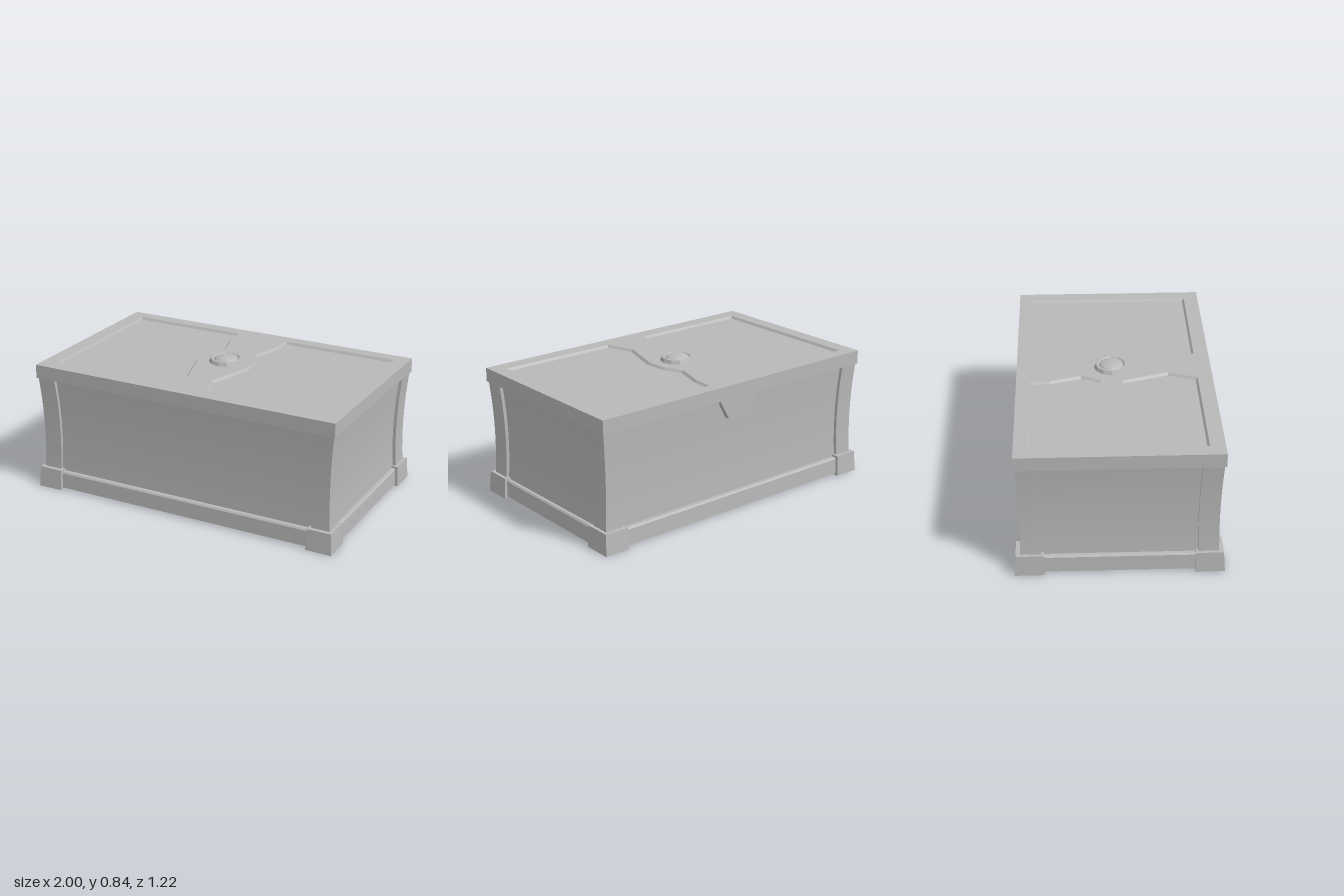
import * as THREE from 'three';

const stone = new THREE.MeshStandardMaterial({ color: 0xb8b8b8 });
stone.name = 'grey stone';

const LID_TOP = 0.805, LID_BOTTOM = 0.72, FLOOR = 0.79;

function add(parent, name, geometry) {
  const mesh = new THREE.Mesh(geometry, stone);
  mesh.name = name;
  parent.add(mesh);
  return mesh;
}

// Box given by its limits, with optional height segments
function boxBetween(x0, x1, y0, y1, z0, z1, segments = 1) {
  return new THREE.BoxGeometry(x1 - x0, y1 - y0, z1 - z0, 1, segments, 1)
    .translate((x0 + x1) / 2, (y0 + y1) / 2, (z0 + z1) / 2);
}

// Move every vertex of a geometry by a rule
function reshape(geometry, rule) {
  const pos = geometry.attributes.position;
  const v = new THREE.Vector3();
  for (let i = 0; i < pos.count; i++) {
    rule(v.fromBufferAttribute(pos, i));
    pos.setXYZ(i, v.x, v.y, v.z);
  }
  geometry.computeVertexNormals();
  return geometry;
}

// Concave sides: wider at the top, narrowest a little below the middle
function bow(v) {
  const f = ((v.y - 0.35) / 0.37) ** 2;
  v.x += Math.sign(v.x) * 0.02 * f;
  v.z += Math.sign(v.z) * 0.012 * f;
}

// Flat faces joining closed loops of points
function loft(loops) {
  const p = [];
  for (let k = 0; k < loops.length - 1; k++) {
    const A = loops[k], B = loops[k + 1];
    for (let i = 0; i < A.length; i++) {
      const j = (i + 1) % A.length;
      for (const q of [A[i], A[j], B[j], A[i], B[j], B[i]]) p.push(...q);
    }
  }
  const g = new THREE.BufferGeometry();
  g.setAttribute('position', new THREE.Float32BufferAttribute(p, 3));
  g.computeVertexNormals();
  return g;
}

// Inward mitred offset of a counter-clockwise outline
function inset(points, d) {
  return points.map((p, i) => {
    const n = points.length;
    const a = p.clone().sub(points[(i + n - 1) % n]).normalize();
    const b = points[(i + 1) % n].clone().sub(p).normalize();
    const na = new THREE.Vector2(-a.y, a.x), nb = new THREE.Vector2(-b.y, b.x);
    const m = na.clone().add(nb);
    return p.clone().addScaledVector(m, d / (1 + na.dot(nb)));
  });
}

export function createModel() {
  const model = new THREE.Group();
  model.name = 'stoneChest';

  // Body, whose top is the floor of the lid recesses
  add(model, 'body', reshape(boxBetween(-0.945, 0.945, 0.04, FLOOR, -0.548, 0.548, 14), bow));

  // Corner posts and feet
  for (const sx of [-1, 1]) for (const sz of [-1, 1]) {
    const side = (sz > 0 ? 'front' : 'back') + (sx > 0 ? 'Left' : 'Right');
    const span = (s, a, b) => (s > 0 ? [a, b] : [-b, -a]);
    add(model, side + 'Post', reshape(
      boxBetween(...span(sx, 0.85, 0.965), 0.1, LID_BOTTOM + 0.01, ...span(sz, 0.448, 0.568), 12), bow));
    add(model, side + 'Foot', reshape(
      boxBetween(...span(sx, 0.84, 1), 0, 0.13, ...span(sz, 0.435, 0.608)), (v) => {
        if (v.y < 0.1) return;
        if (Math.abs(v.x) > 0.9) v.x -= sx * 0.008;
        if (Math.abs(v.z) > 0.5) v.z -= sz * 0.01;
      }));
  }

  // Skirt around the base, from its inner wall out and up to the ledge
  const profile = [[0.944, 0.547, 0.045], [0.944, 0.547, 0.012], [0.982, 0.588, 0.012],
    [0.978, 0.584, 0.108], [0.97, 0.576, 0.118], [0.94, 0.545, 0.118]];
  add(model, 'skirt', loft(profile.map(([x, z, y]) =>
    [[x, y, z], [x, y, -z], [-x, y, -z], [-x, y, z]])));

  // Lid with two recesses
  const V = (x, y) => new THREE.Vector2(x, y);
  const leftOutline = [[0.905, -0.5], [0.905, 0.512], [0.168, 0.512], [0.162, 0.39], [0.106, 0.2],
    [0.158, 0.08], [0.167, -0.05], [0.081, -0.325], [0.148, -0.5]].map(([x, y]) => V(x, y));
  const rightOutline = leftOutline.map((p) => V(-p.x, p.y)).reverse();
  const lidShape = new THREE.Shape([V(-0.993, -0.59), V(0.993, -0.59), V(0.993, 0.59), V(-0.993, 0.59)]);
  for (const outline of [leftOutline, rightOutline]) lidShape.holes.push(new THREE.Path(outline));
  add(model, 'lid', new THREE.ExtrudeGeometry(lidShape, { depth: LID_TOP - LID_BOTTOM, bevelEnabled: false })
    .rotateX(-Math.PI / 2).translate(0, LID_BOTTOM, 0));

  // Sloped edges of the recesses
  for (const [name, outline] of [['leftRecessEdge', leftOutline], ['rightRecessEdge', rightOutline]]) {
    const at = (pts, y) => pts.map((p) => [p.x, y, -p.y]);
    add(model, name, loft([at(outline, LID_TOP), at(inset(outline, 0.012), FLOOR)]));
  }

  // Tab hanging from the back edge of the lid
  const tab = new THREE.Shape([V(-0.15, 0.725), V(-0.08, 0.6), V(0.08, 0.6), V(0.15, 0.725)]);
  add(model, 'backTab', new THREE.ExtrudeGeometry(tab, { depth: 0.04, bevelEnabled: false })
    .translate(0, 0, -0.589));

  // Round boss on the lid: faceted ring and smooth dome
  const boss = new THREE.Group();
  boss.name = 'boss';
  boss.position.set(0, LID_TOP, -0.014);
  model.add(boss);
  const ring = new THREE.LatheGeometry(
    [V(0.108, -0.002), V(0.098, 0.023), V(0.084, 0.025), V(0.074, 0.014), V(0, 0.014)], 12).toNonIndexed();
  ring.computeVertexNormals();
  add(boss, 'bossRing', ring);
  const dome = new THREE.SphereGeometry(0.074, 24, 8, 0, Math.PI * 2, 0, Math.PI / 2);
  add(boss, 'bossDome', dome.scale(1, 0.35, 1).translate(0, 0.013, 0));

  return model;
}
